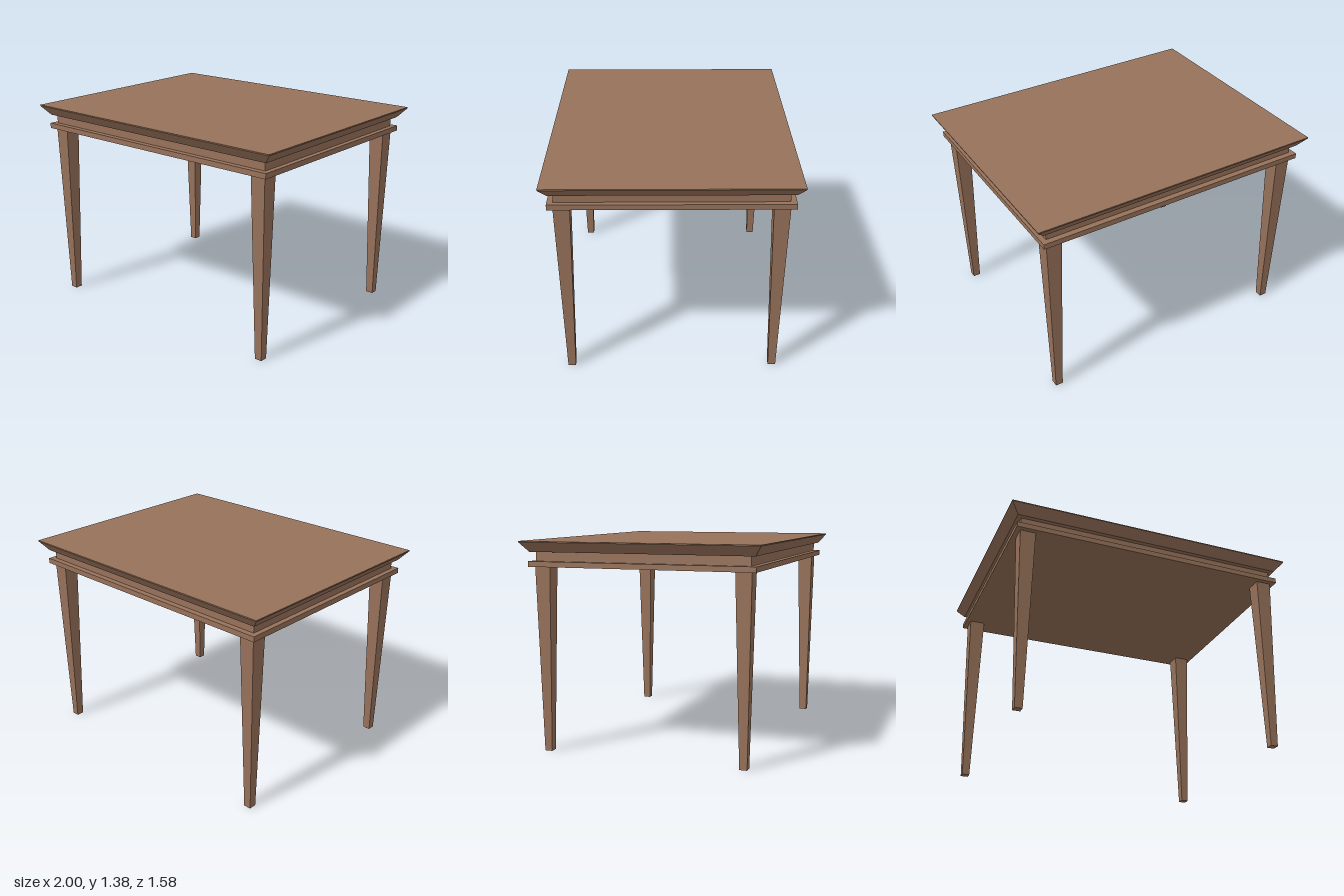
import * as THREE from 'three';

const wood = new THREE.MeshStandardMaterial({ color: 0x97725a });
wood.name = 'wood';

// Box from y0 to y1 whose bottom face is scaled relative to its top face
function taperedBox(name, y0, y1, topW, topD, bottomW = topW, bottomD = topD) {
  const geo = new THREE.BoxGeometry(topW, y1 - y0, topD);
  geo.translate(0, (y0 + y1) / 2, 0);
  const p = geo.attributes.position;
  const mid = (y0 + y1) / 2;
  for (let i = 0; i < p.count; i++) {
    if (p.getY(i) < mid) {
      p.setX(i, p.getX(i) * bottomW / topW);
      p.setZ(i, p.getZ(i) * bottomD / topD);
    }
  }
  // box faces do not share vertices, so the normals stay flat
  geo.computeVertexNormals();
  const mesh = new THREE.Mesh(geo, wood);
  mesh.name = name;
  return mesh;
}

export function createModel() {
  const table = new THREE.Group();
  table.name = 'table';

  // Top: thin square lip above a bevel that slopes inward
  table.add(taperedBox('tabletopLip', 1.373, 1.38, 2, 1.58));
  table.add(taperedBox('tabletopBevel', 1.31, 1.373, 2, 1.58, 1.89, 1.486));

  // Apron and the wider moulding beneath it
  table.add(taperedBox('apron', 1.25, 1.31, 1.832, 1.424));
  table.add(taperedBox('moulding', 1.215, 1.25, 1.9, 1.5));

  // Four tapered legs
  for (const [side, x] of [['Left', 0.867], ['Right', -0.867]]) {
    for (const [end, z] of [['front', 0.665], ['back', -0.665]]) {
      const leg = taperedBox(`${end}${side}Leg`, 0, 1.215, 0.104, 0.104, 0.05, 0.05);
      leg.position.set(x, 0, z);
      table.add(leg);
    }
  }
  return table;
}
